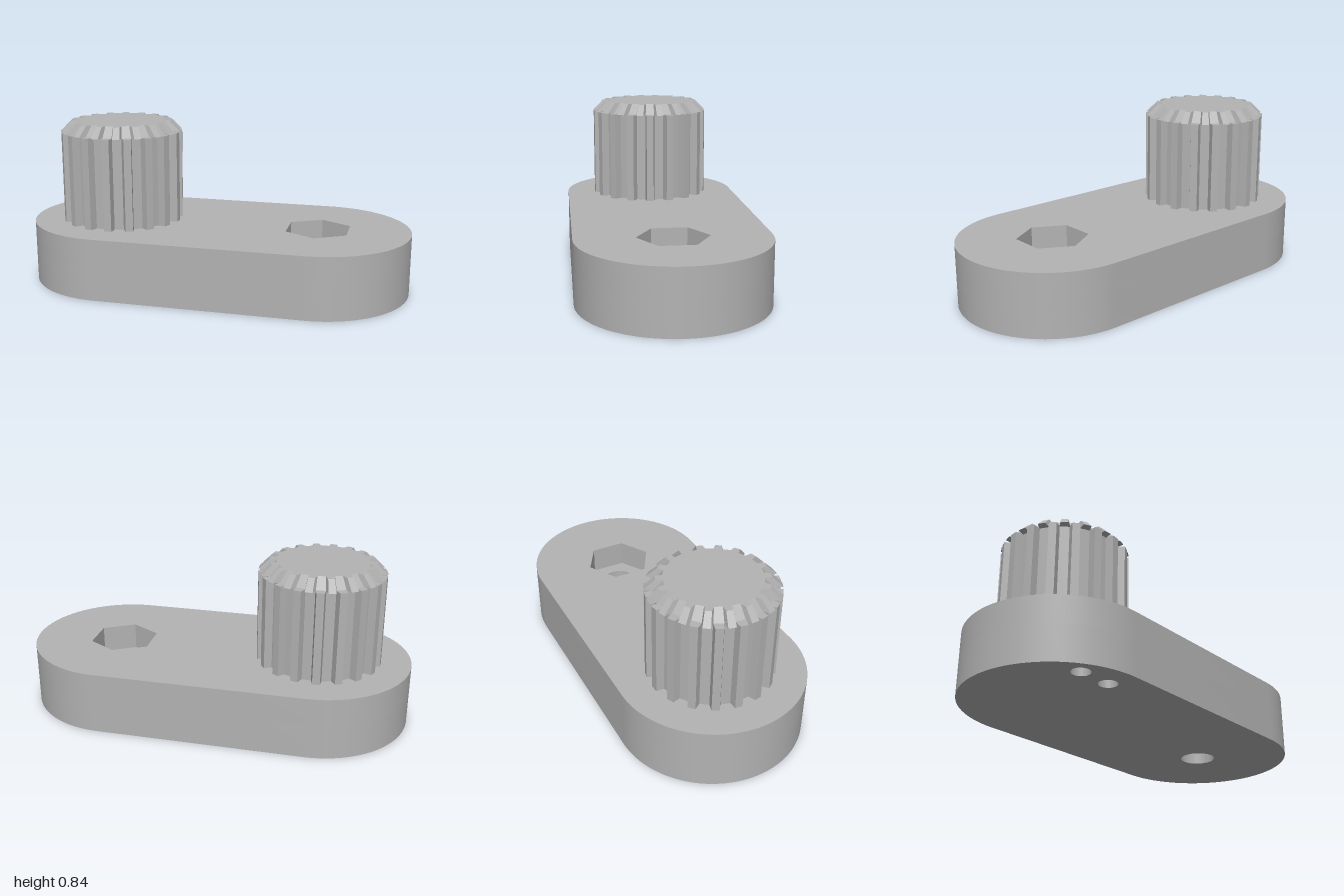
import * as THREE from 'three';
import { toCreasedNormals } from 'three/addons/utils/BufferGeometryUtils.js';

const END_X = 0.528, END_R = 0.472, BASE_H = 0.318, POCKET_Y = 0.178;
const TEETH = 18, TIP_R = 0.319, ROOT_R = 0.28;
const rad = THREE.MathUtils.degToRad;

// Rounded bar outline, drawn in plan (shape y is -z)
function barShape() {
  const s = new THREE.Shape();
  s.absarc(END_X, 0, END_R, -Math.PI / 2, Math.PI / 2, false);
  s.absarc(-END_X, 0, END_R, Math.PI / 2, Math.PI * 1.5, false);
  s.closePath();
  return s;
}

function roundHole(x, y, r) {
  return new THREE.Path().absarc(x, y, r, 0, Math.PI * 2, true);
}

// Hexagon with points towards front and back
function hexHole(x, r) {
  const pts = [];
  for (let i = 0; i < 6; i++) {
    const a = rad(90 - i * 60);
    pts.push(new THREE.Vector2(x + r * Math.cos(a), r * Math.sin(a)));
  }
  return new THREE.Path(pts);
}

// Splined outline with trapezoid teeth, first tooth at the given angle
function splineShape(offset) {
  const pts = [];
  for (let i = 0; i < TEETH; i++) {
    const centre = offset + (i * 360) / TEETH;
    for (const [da, r] of [[-5.2, ROOT_R], [-3.4, TIP_R], [3.4, TIP_R], [5.2, ROOT_R]]) {
      const a = rad(centre + da);
      pts.push(new THREE.Vector2(r * Math.cos(a), r * Math.sin(a)));
    }
  }
  return new THREE.Shape(pts);
}

// Upright extrusion from y0 to y1, optionally tapering to topScale
function slab(name, shape, y0, y1, material, topScale = 1, crease = 0.4) {
  const depth = y1 - y0;
  let geo = new THREE.ExtrudeGeometry(shape, { depth, bevelEnabled: false, curveSegments: 32 });
  const p = geo.attributes.position;
  for (let i = 0; i < p.count; i++) {
    if (p.getZ(i) > depth / 2) p.setXY(i, p.getX(i) * topScale, p.getY(i) * topScale);
  }
  geo.rotateX(-Math.PI / 2);
  geo = toCreasedNormals(geo, crease);
  const mesh = new THREE.Mesh(geo, material);
  mesh.name = name;
  mesh.position.y = y0;
  return mesh;
}

export function createModel() {
  const model = new THREE.Group();
  model.name = 'splinedArm';
  const grey = new THREE.MeshStandardMaterial({ color: 0xb3b3b3 });
  grey.name = 'grey';

  // Lower half of the bar: bolt hole and two small blind holes
  const lower = barShape();
  lower.holes.push(
    roundHole(END_X, 0, 0.09),
    roundHole(-0.555, -0.333, 0.045),
    roundHole(-0.725, -0.333, 0.045)
  );
  model.add(slab('lowerBar', lower, 0, POCKET_Y, grey));

  // Upper half of the bar: hexagonal nut pocket
  const upper = barShape();
  upper.holes.push(hexHole(END_X, 0.178));
  model.add(slab('upperBar', upper, POCKET_Y, BASE_H, grey));

  // Splined post with a tapered cap turned half a tooth
  const post = new THREE.Group();
  post.name = 'splinedPost';
  post.position.x = -END_X;
  post.add(slab('postBody', splineShape(-5), BASE_H, 0.79, grey, 1, 0.05));
  post.add(slab('postChamfer', splineShape(-15), 0.79, 0.844, grey, 0.83, 0.05));
  model.add(post);

  return model;
}
